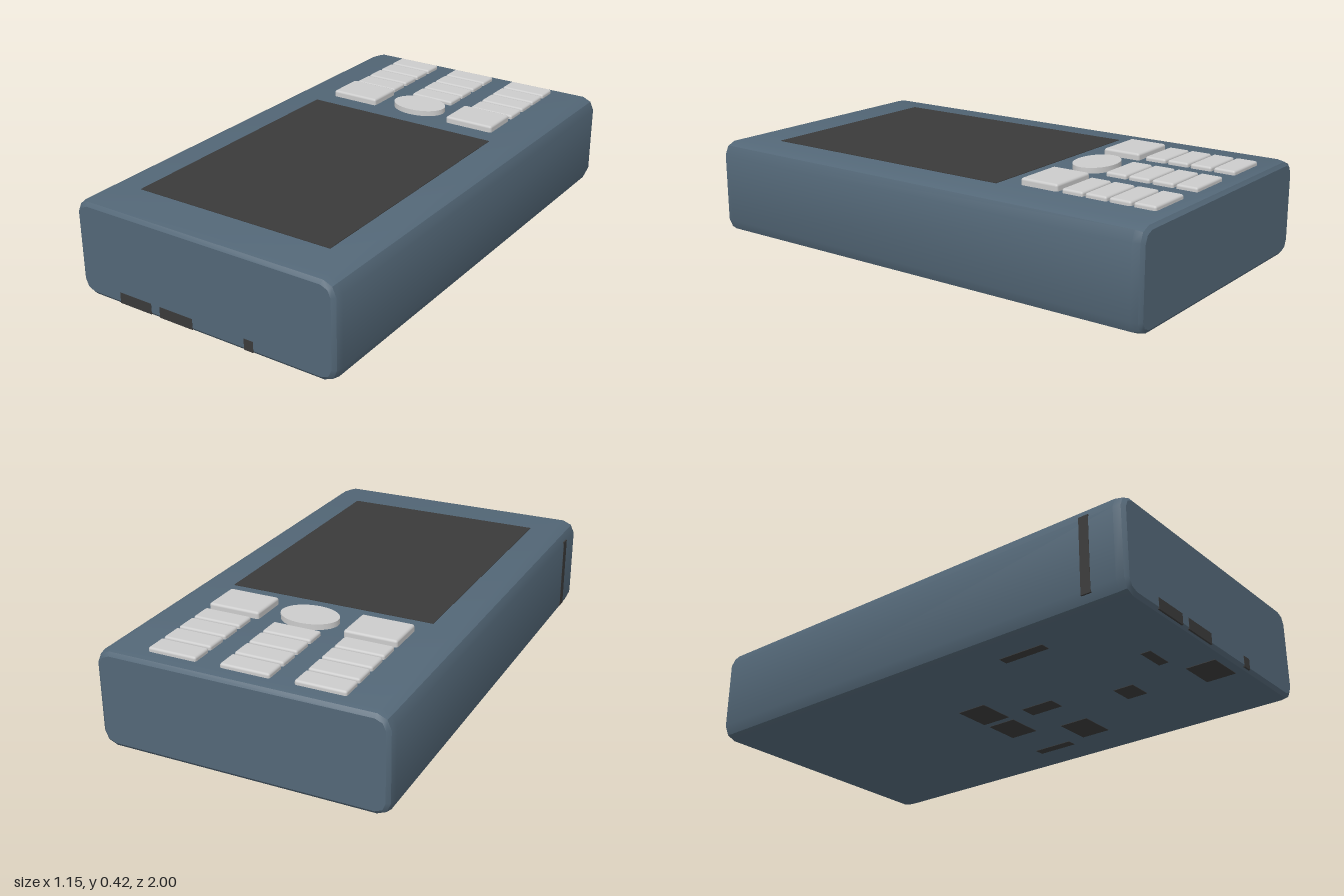
import * as THREE from 'three';
import { RoundedBoxGeometry } from 'three/addons/geometries/RoundedBoxGeometry.js';
import { toCreasedNormals } from 'three/addons/utils/BufferGeometryUtils.js';

export function createModel() {
  const group = new THREE.Group();
  const shellMat = new THREE.MeshStandardMaterial({ color: 0x536777 });
  const darkMat = new THREE.MeshStandardMaterial({ color: 0x3a3a3a });
  const keyMat = new THREE.MeshStandardMaterial({ color: 0xcccccc });

  const add = (name, geometry, material, x, y, z) => {
    const mesh = new THREE.Mesh(geometry, material);
    mesh.name = name;
    mesh.position.set(x, y, z);
    group.add(mesh);
    return mesh;
  };
  const box = (name, w, h, d, x, y, z) =>
    add(name, new THREE.BoxGeometry(w, h, d), darkMat, x, y, z);

  // Body: rounded cross-section extruded front to back, with bevelled ends
  const bevel = 0.02, depth = 0.04;
  const w = 0.575 - bevel, y0 = 0.002 + bevel, y1 = 0.39 - bevel;
  const c = 0.04, m = 0.012;
  const right = [[w - c, y0], [w - m, y0 + m], [w, y0 + c], [w, y1 - c], [w - m, y1 - m], [w - c, y1]];
  const left = right.map(([x, y]) => [-x, y]).reverse();
  const section = new THREE.Shape([...right, ...left].map(([x, y]) => new THREE.Vector2(x, y)));
  const bodyGeo = new THREE.ExtrudeGeometry(section, {
    depth: 2 - 2 * depth, bevelEnabled: true, bevelSize: bevel, bevelThickness: depth, bevelSegments: 2,
  });
  add('body', toCreasedNormals(bodyGeo, 0.5), shellMat, 0, 0, -1 + depth);

  // Display, flush with the top
  box('screen', 0.845, 0.02, 1.11, 0, 0.382, 0.257);

  // Keypad: three columns of four small keys
  for (const x of [-0.288, 0, 0.29]) {
    for (let row = 0; row < 4; row++) {
      add('key', new RoundedBoxGeometry(0.195, 0.04, 0.088, 2, 0.009), keyMat, x, 0.387, -0.895 + row * 0.0975);
    }
  }

  // Large side keys and the oval centre key
  for (const s of [-1, 1]) {
    add('largeKey', new RoundedBoxGeometry(0.212, 0.05, 0.16, 2, 0.01), keyMat, s * 0.28, 0.392, -0.46);
  }
  add('ovalKey', new THREE.CylinderGeometry(1, 1, 0.04, 40), keyMat, 0, 0.392, -0.46).scale.set(0.116, 1, 0.082);

  // Ports along the lower front edge: centre x, width
  for (const [x, width] of [[-0.308, 0.15], [-0.117, 0.152], [0.21, 0.04]]) {
    box('frontPort', width, 0.044, 0.02, x, 0.037, 0.991);
  }

  // Slot on the side
  box('sideSlot', 0.02, 0.3, 0.04, -0.566, 0.195, 0.84);

  // Recess panels underneath: centre x, centre z, width, depth
  const panels = [
    [0.367, 0.01, 0.04, 0.17], [0.27, 0.23, 0.155, 0.125], [0.095, 0, 0.15, 0.12],
    [-0.087, 0, 0.155, 0.125], [0, 0.22, 0.07, 0.14], [0.09, 0.57, 0.1, 0.085],
    [0.12, 0.9, 0.15, 0.12], [-0.1, 0.8, 0.12, 0.04], [-0.42, 0.46, 0.04, 0.19],
  ];
  for (const [x, z, width, length] of panels) {
    box('bottomPanel', width, 0.02, length, x, 0.01, z);
  }
  return group;
}
